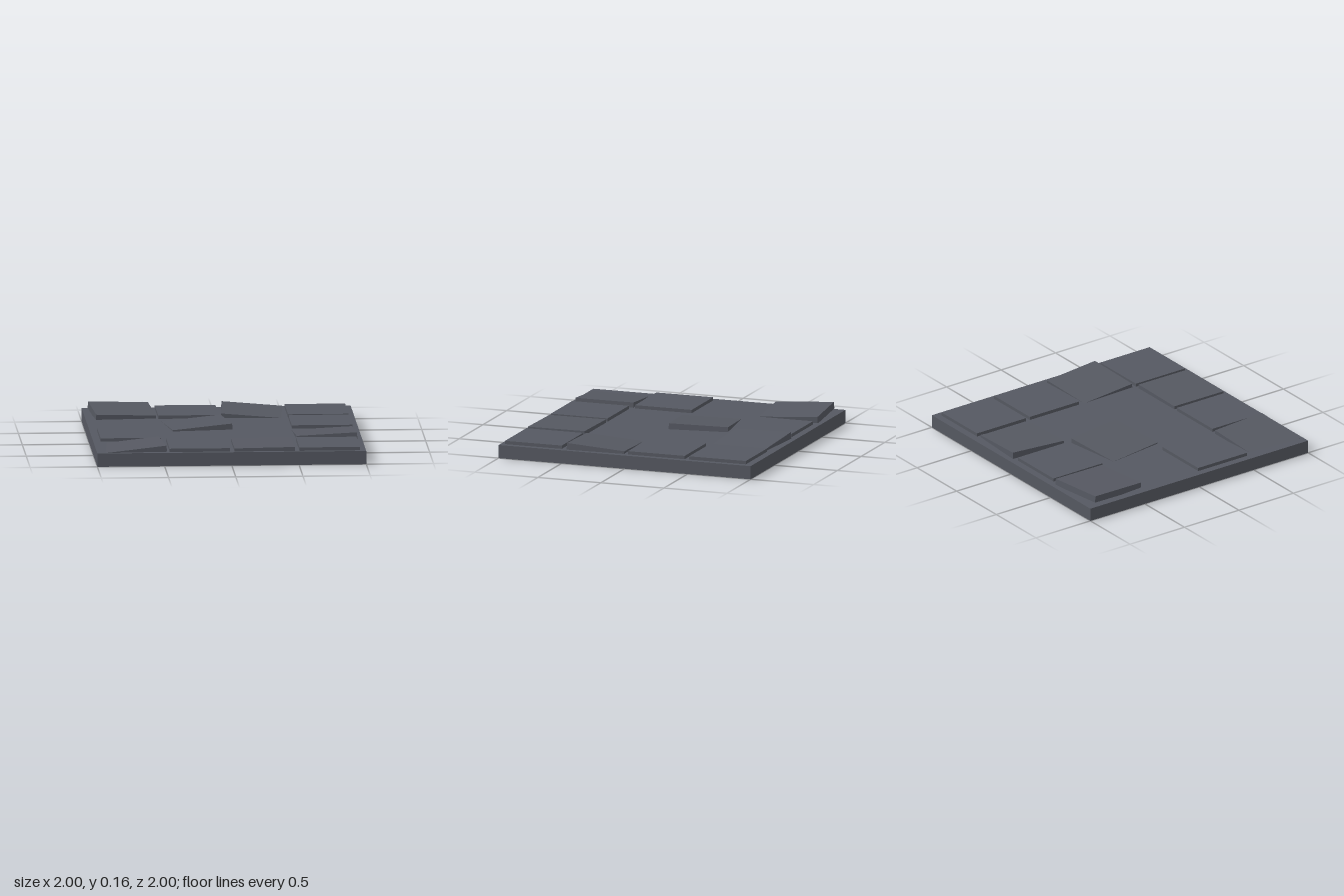
import * as THREE from 'three';

const SIZE = 0.45, THICK = 0.05;

export function createModel() {
  const slate = new THREE.MeshStandardMaterial({ color: 0x555861 });
  slate.name = 'slate grey';
  const group = new THREE.Group();
  group.name = 'tiledFloor';

  // Square slab that carries the tiles
  const base = new THREE.Mesh(new THREE.BoxGeometry(2, 0.1, 2), slate);
  base.name = 'baseSlab';
  base.position.y = 0.05;
  group.add(base);

  // Loose paving tiles: centre x, centre z, top height, yaw, rise towards +x, rise towards +z
  const tiles = [
    // back row
    [-0.717, -0.72, 0.143, 0.08, -0.038, -0.055],
    [-0.235, -0.72, 0.125, 0, 0, 0],
    [0.245, -0.72, 0.125, -0.065, -0.075, -0.035],
    [0.73, -0.72, 0.125, 0, 0, 0],
    // second row
    [-0.19, -0.19, 0.123, 0.135, 0.08, 0.018],
    [0.73, -0.235, 0.125, 0, 0, 0],
    // third row
    [-0.72, 0.255, 0.125, 0, 0, 0],
    [0.732, 0.255, 0.125, 0.03, 0.045, 0.067],
    // front row
    [-0.72, 0.74, 0.12, 0.07, 0.1, 0.015],
    [-0.235, 0.74, 0.125, 0, 0, 0],
    [0.247, 0.74, 0.127, 0, 0.015, -0.005],
    [0.73, 0.74, 0.125, 0, 0, 0],
  ];
  const tileGeometry = new THREE.BoxGeometry(SIZE, THICK, SIZE);
  tiles.forEach(([x, z, top, yaw, riseX, riseZ], i) => {
    const tile = new THREE.Mesh(tileGeometry, slate);
    tile.name = `tile${i + 1}`;
    tile.position.set(x, top - THICK / 2, z);
    tile.rotation.set(-riseZ, yaw, riseX, 'YXZ');
    group.add(tile);
  });
  return group;
}
